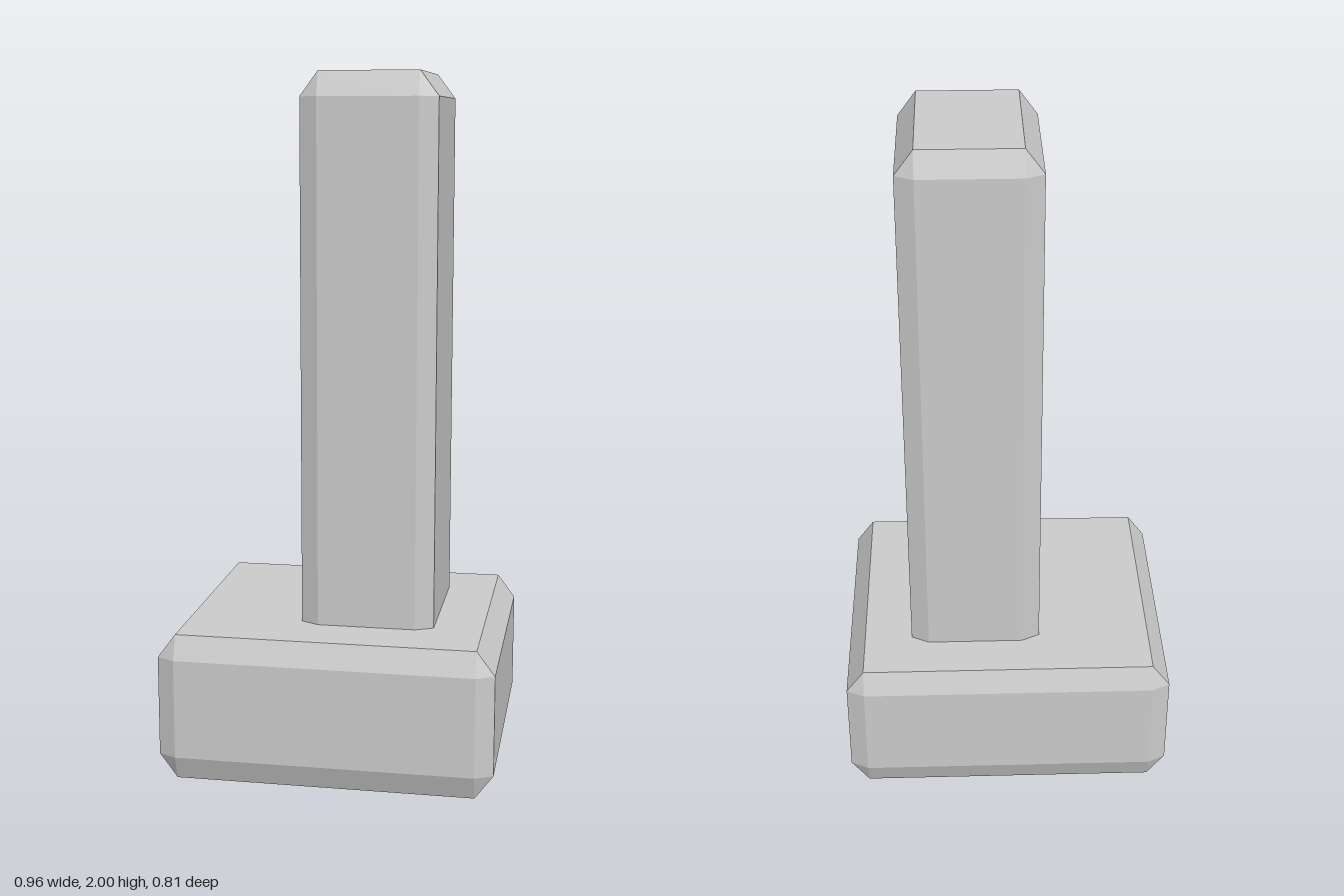
import * as THREE from 'three';
import { ConvexGeometry } from 'three/addons/geometries/ConvexGeometry.js';

// Chamfer depth along x, y and z
const BEVEL = [0.052, 0.07, 0.026];

// Box between two corners with every edge and corner chamfered
function chamferedBox(name, min, max, material) {
  const centre = min.map((v, i) => (v + max[i]) / 2);
  const half = min.map((v, i) => (max[i] - v) / 2);
  const points = [];
  for (const sx of [-1, 1]) for (const sy of [-1, 1]) for (const sz of [-1, 1]) {
    const sign = [sx, sy, sz];
    // Each corner becomes a small triangle, one point on each adjoining face
    for (let face = 0; face < 3; face++) {
      points.push(new THREE.Vector3(...half.map((h, i) => sign[i] * (i === face ? h : h - BEVEL[i]))));
    }
  }
  const mesh = new THREE.Mesh(new ConvexGeometry(points), material);
  mesh.name = name;
  mesh.position.set(...centre);
  return mesh;
}

export function createModel() {
  const group = new THREE.Group();
  group.name = 'postOnBase';
  const material = new THREE.MeshStandardMaterial({ color: 0xcccccc, flatShading: true });

  // Wide block resting on the ground
  group.add(chamferedBox('base', [-0.481, 0, -0.407], [0.481, 0.43, 0.407], material));

  // Off-centre post, its lower end sunk into the base
  group.add(chamferedBox('post', [-0.098, 0.3, -0.248], [0.288, 2, 0.223], material));

  return group;
}
